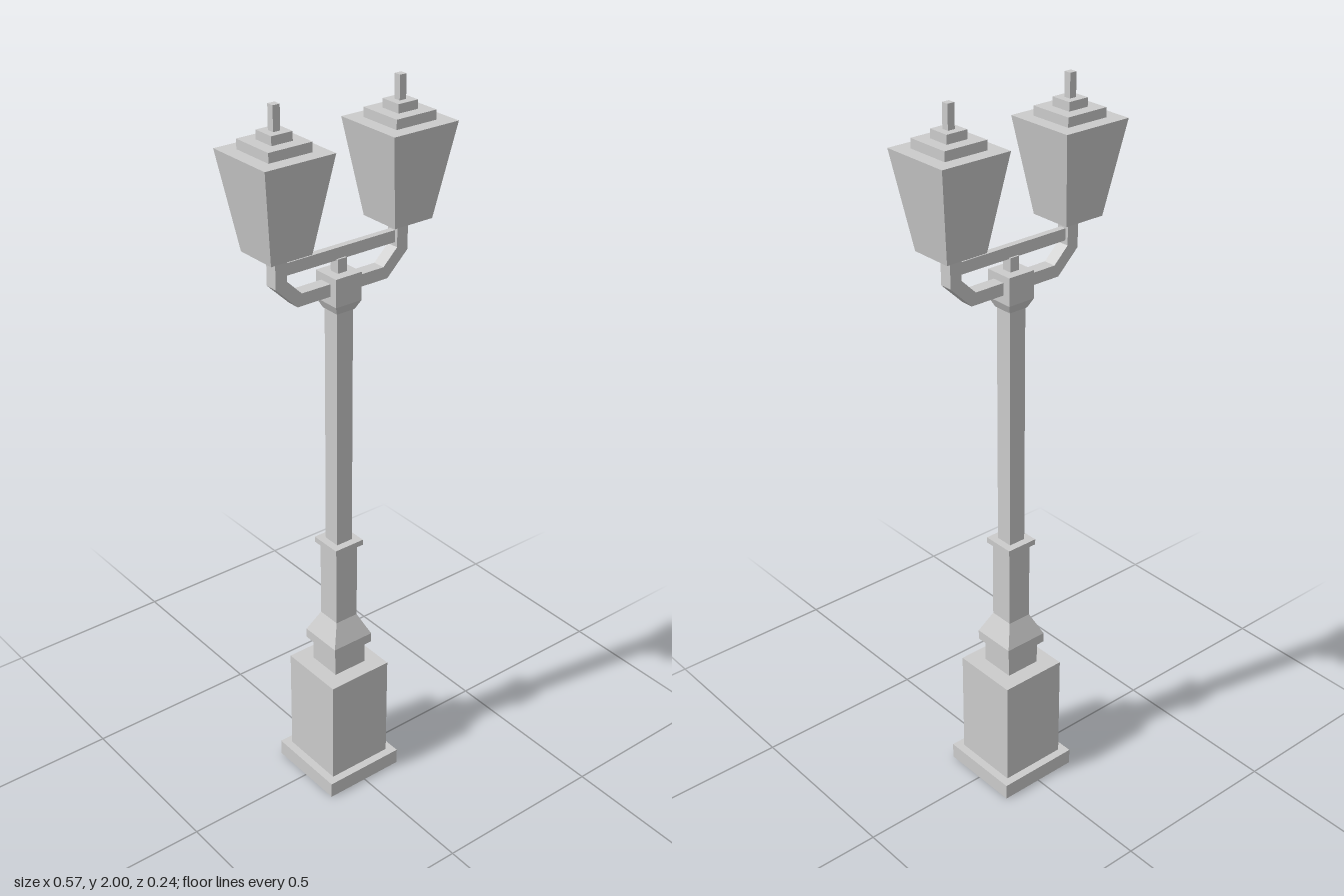
import * as THREE from 'three';

const material = new THREE.MeshStandardMaterial({ color: 0xcccccc, flatShading: true });

// Square block or frustum from y0 to y1 with half-widths h0 (bottom) and h1 (top)
function block(name, y0, y1, h0, h1 = h0) {
  const geometry = new THREE.BoxGeometry(2, y1 - y0, 2);
  const p = geometry.attributes.position;
  for (let i = 0; i < p.count; i++) {
    const h = p.getY(i) > 0 ? h1 : h0;
    p.setX(i, p.getX(i) * h);
    p.setZ(i, p.getZ(i) * h);
  }
  geometry.translate(0, (y0 + y1) / 2, 0);
  geometry.computeVertexNormals();
  const mesh = new THREE.Mesh(geometry, material);
  mesh.name = name;
  return mesh;
}

// Lantern with tapered body, stepped cap and finial
function lantern() {
  const group = new THREE.Group();
  group.add(
    block('lanternBody', 1.64, 1.89, 0.06, 0.1),
    block('lowerCap', 1.89, 1.915, 0.062),
    block('upperCap', 1.915, 1.938, 0.03),
    block('finial', 1.938, 2.0, 0.01),
  );
  return group;
}

// Bent square arm, extruded from its outline
function arm() {
  const outline = [
    [0.03, 1.493], [0.14, 1.493], [0.204, 1.555], [0.204, 1.645],
    [0.17, 1.645], [0.17, 1.568], [0.127, 1.526], [0.03, 1.526],
  ];
  const shape = new THREE.Shape(outline.map(([x, y]) => new THREE.Vector2(x, y)));
  const geometry = new THREE.ExtrudeGeometry(shape, { depth: 0.036, bevelEnabled: false });
  geometry.translate(0, 0, -0.018);
  return new THREE.Mesh(geometry, material);
}

export function createModel() {
  const model = new THREE.Group();
  model.name = 'streetLamp';

  // Pedestal, shaft and pole
  model.add(
    block('plinth', 0, 0.046, 0.12),
    block('pedestal', 0.046, 0.36, 0.097),
    block('neck', 0.36, 0.43, 0.051),
    block('flareBase', 0.43, 0.458, 0.064),
    block('flare', 0.458, 0.52, 0.064, 0.035),
    block('shaft', 0.52, 0.75, 0.035),
    block('collar', 0.75, 0.766, 0.046),
    block('pole', 0.766, 1.45, 0.025),
    block('headTaper', 1.445, 1.47, 0.028, 0.04),
    block('head', 1.47, 1.545, 0.04),
    block('crossbarPost', 1.545, 1.582, 0.014),
  );

  // Crossbar between the arms
  const crossbar = new THREE.Mesh(new THREE.BoxGeometry(0.348, 0.032, 0.018), material);
  crossbar.name = 'crossbar';
  crossbar.position.y = 1.595;
  model.add(crossbar);

  // Paired arms and lanterns
  for (const side of [1, -1]) {
    const prefix = side > 0 ? 'left' : 'right';
    const bracket = arm();
    bracket.name = prefix + 'Arm';
    if (side < 0) bracket.rotation.y = Math.PI;
    const lamp = lantern();
    lamp.name = prefix + 'Lantern';
    lamp.position.x = side * 0.186;
    model.add(bracket, lamp);
  }
  return model;
}
